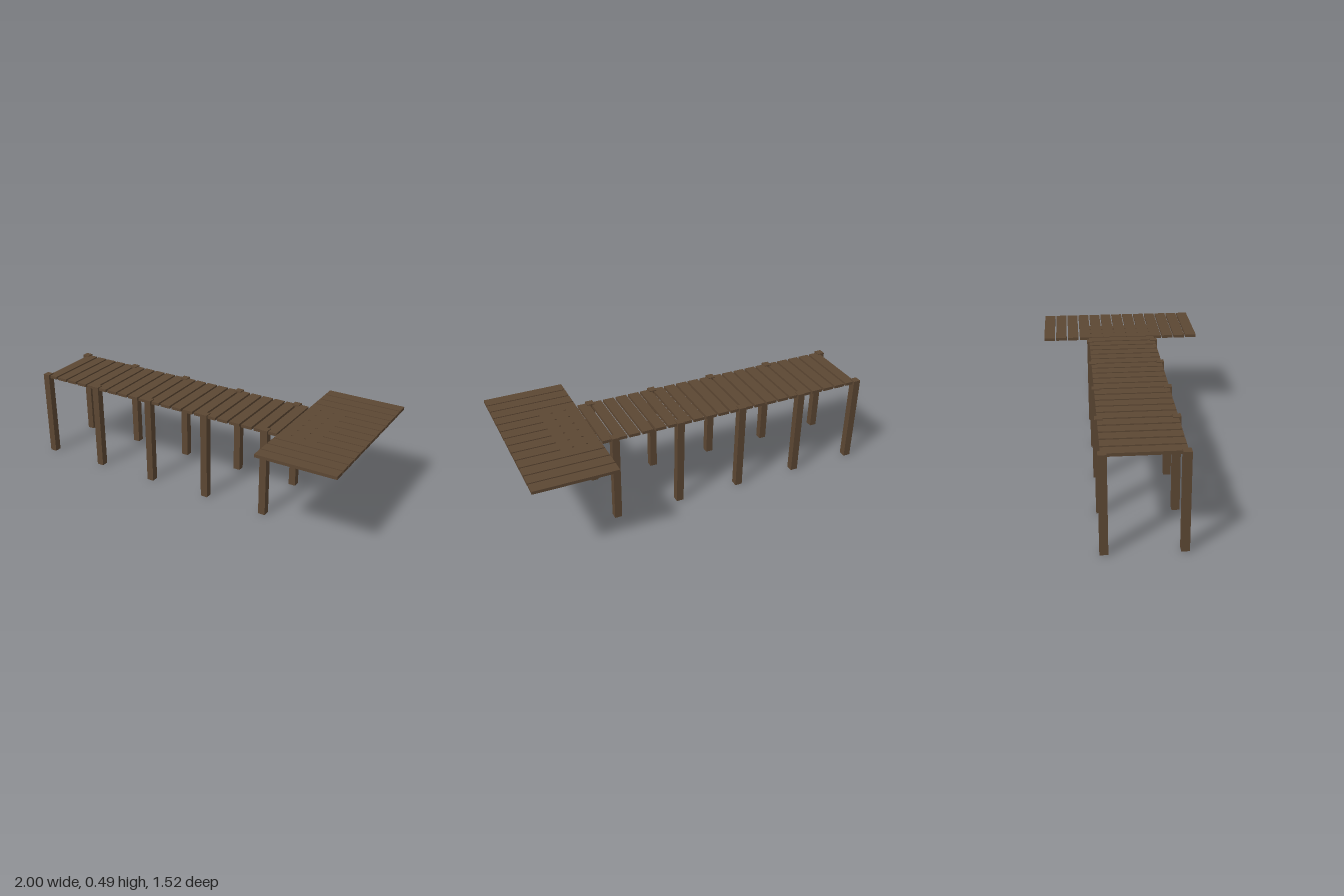
import * as THREE from 'three';

export function createModel() {
  const wood = new THREE.MeshStandardMaterial({ color: 0x5c4733 });
  wood.name = 'weatheredWood';

  const model = new THREE.Group();
  model.name = 'dock';
  // The dock lies at 30 degrees: local x runs along the walkway
  const dock = new THREE.Group();
  dock.name = 'dockFrame';
  dock.rotation.y = -Math.PI / 6;
  model.add(dock);

  const addBox = (parent, name, w, h, d, x, y, z) => {
    const mesh = new THREE.Mesh(new THREE.BoxGeometry(w, h, d), wood);
    mesh.name = name;
    mesh.position.set(x, y, z);
    parent.add(mesh);
  };
  const addGroup = (name) => {
    const g = new THREE.Group();
    g.name = name;
    dock.add(g);
    return g;
  };

  const start = -1.057, pitch = 0.071, midZ = -0.057;
  const deckY = 0.477, thick = 0.016;

  // Walkway planks, laid crosswise
  const walkway = addGroup('walkway');
  for (let i = 0; i < 24; i++) {
    addBox(walkway, 'walkwayPlank', 0.059, thick, 0.375,
      start + (i + 0.5) * pitch, deckY, midZ);
  }

  // Paired posts, one pair every five planks
  const posts = addGroup('posts');
  for (let i = 0; i < 5; i++) {
    for (const side of [-1, 1]) {
      addBox(posts, 'post', 0.039, 0.49, 0.039,
        start + i * 5 * pitch, 0.245, midZ + side * 0.18);
    }
  }

  // End platform planks, laid lengthwise
  const platform = addGroup('platform');
  const count = 13, step = 0.0685;
  for (let i = 0; i < count; i++) {
    addBox(platform, 'platformPlank', 0.428, thick, 0.061,
      0.651, deckY, -0.061 + (i - (count - 1) / 2) * step);
  }

  return model;
}
